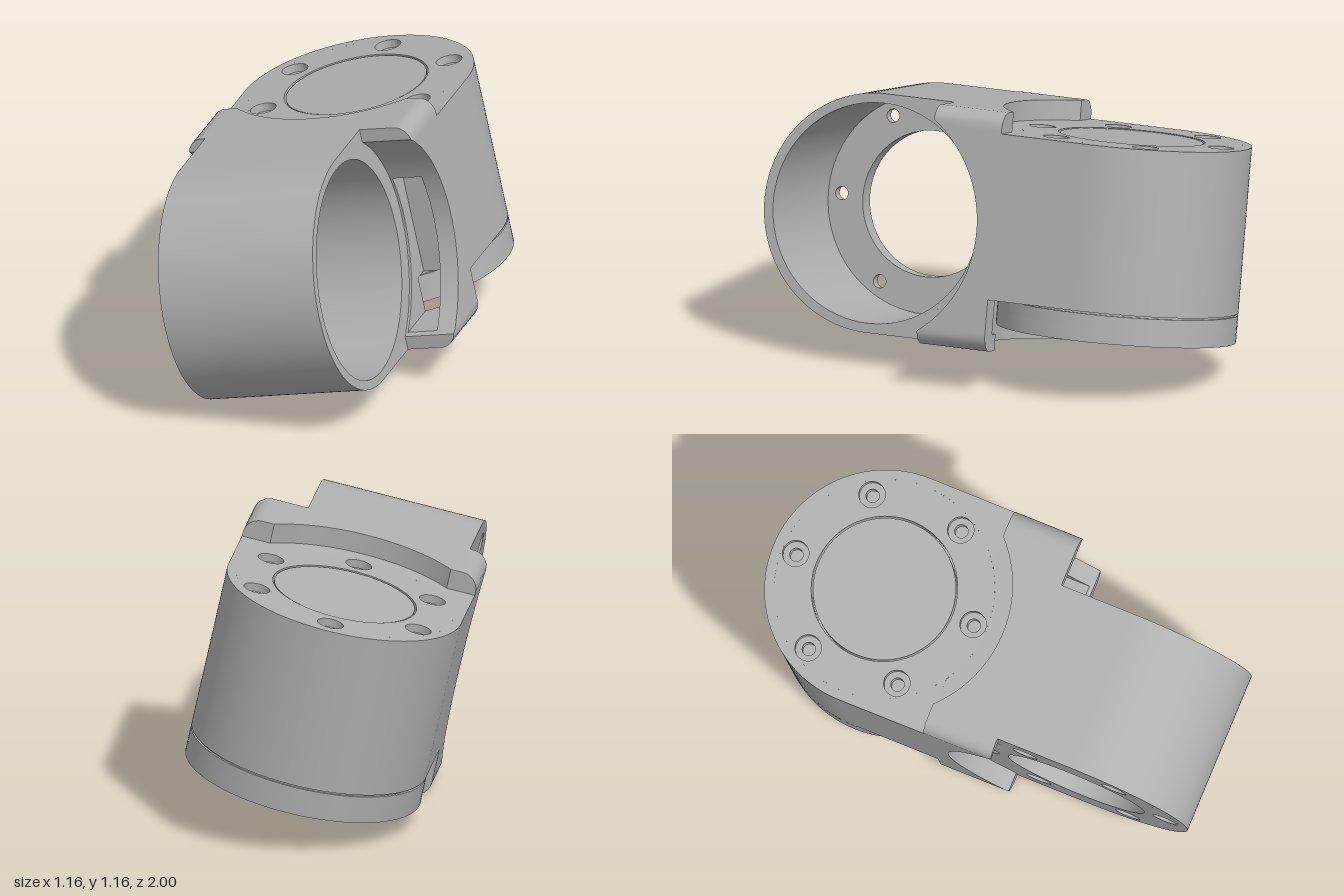
import * as THREE from 'three';
import { toCreasedNormals } from 'three/addons/utils/BufferGeometryUtils.js';

const R = 0.5, BORE = 0.46, CLEAR = 0.54;       // barrel, bore and clearance radii
const FLOOR = 0.415, RIM = -0.28;               // barrel extent along its own axis
const FRONT = 0.19, BACK = -0.115;              // collar faces

const grey = new THREE.MeshStandardMaterial({ color: 0xb0b0b0 });
grey.name = 'aluminium grey';

function add(parent, name, geometry) {
  const mesh = new THREE.Mesh(toCreasedNormals(geometry, 0.5), grey);
  mesh.name = name;
  parent.add(mesh);
  return mesh;
}

function plate(parent, name, shape, from, to) {
  const geo = new THREE.ExtrudeGeometry(shape, { depth: to - from, bevelEnabled: false, curveSegments: 48 });
  geo.translate(0, 0, from);
  return add(parent, name, geo);
}

// Disc with a centre hole and a circle of bolt holes
function disc(radius, hole, bolts, boltCircle, boltRadius, phase) {
  const shape = new THREE.Shape().absarc(0, 0, radius, 0, Math.PI * 2);
  const cut = (x, y, r) => shape.holes.push(new THREE.Path().absarc(x, y, r, 0, Math.PI * 2, true));
  cut(0, 0, hole);
  for (let i = 0; i < bolts; i++) {
    const a = phase + (i / bolts) * Math.PI * 2;
    cut(boltCircle * Math.cos(a), boltCircle * Math.sin(a), boltRadius);
  }
  return shape;
}

// Barrel along local z: floor at +z, open rim at -z, legs reaching the collar at -y
function barrel(name, leg, hole) {
  const group = new THREE.Group();
  group.name = name;
  const a = Math.asin(leg / BORE), x = BORE * Math.cos(a);
  const wall = new THREE.Shape();
  wall.moveTo(R, -leg);
  wall.lineTo(R, 0);
  wall.absarc(0, 0, R, 0, Math.PI);
  wall.lineTo(-R, -leg);
  wall.lineTo(-x, -leg);
  wall.absarc(0, 0, BORE, Math.PI + a, -a, true);
  plate(group, 'barrelWall', wall, RIM, FLOOR);
  plate(group, 'countersunkFloor', disc(BORE, hole, 6, 0.4, 0.055, Math.PI / 2), 0.38, FLOOR);
  plate(group, 'innerFloor', disc(BORE, hole, 6, 0.4, 0.028, Math.PI / 2), 0.335, 0.38);
  return group;
}

function place(group, x, y, z, offset) {
  const v = (p) => new THREE.Vector3(...p);
  group.quaternion.setFromRotationMatrix(new THREE.Matrix4().makeBasis(v(x), v(y), v(z)));
  group.position.z = offset;
}

// Collar: rounded square slab, scooped in front and behind, with one slot through it
function collarGeometry() {
  const gridLines = (steps) => {
    const lines = [-0.43, 0.19, 0.29, 0.42];
    for (let i = 0; i <= 50; i++) lines.push(-0.5 + i / 50);
    for (const e of [0.256, 0.341, 0.379, 0.442]) lines.push(e, -e);
    for (let i = 0; i <= 6; i++) {
      const e = 0.43 + 0.07 * Math.sin((i / 6) * Math.PI / 2);
      lines.push(e, -e);
    }
    for (const s of steps) lines.push(s - 0.0004, s + 0.0004);
    const sorted = lines.sort((a, b) => a - b);
    return sorted.filter((n, i) => i === 0 || n - sorted[i - 1] > 1e-6);
  };
  const us = gridLines([-FLOOR, -RIM]), vs = gridLines([FLOOR, RIM]);
  const scoop = (r, t) => 0.5 - Math.sqrt(Math.max(0, r * r - t * t));
  const point = (i, j, front) => {
    const u = us[i];
    const c = Math.max(0, Math.abs(u) - 0.43);
    const top = 0.43 + Math.sqrt(Math.max(0, 0.0049 - c * c));
    const v = Math.max(-top, Math.min(top, vs[j]));
    const z = front
      ? Math.min(FRONT, scoop(u > -FLOOR && u < -RIM ? BORE : CLEAR, v))
      : Math.max(BACK, -scoop(vs[j] > RIM && vs[j] < FLOOR ? BORE : CLEAR, u));
    return [u, v, z];
  };
  const solid = (i, j) => {
    if (i < 0 || j < 0 || i >= us.length - 1 || j >= vs.length - 1) return false;
    const u = (us[i] + us[i + 1]) / 2, v = (vs[j] + vs[j + 1]) / 2;
    return !(u > 0.29 && u < 0.42 && v > -0.43 && v < 0.19);
  };
  const out = [];
  const quad = (a, b, c, d) => out.push(...a, ...b, ...c, ...a, ...c, ...d);
  const sides = [[0, -1], [1, 0], [0, 1], [-1, 0]];
  for (let i = 0; i < us.length - 1; i++) {
    for (let j = 0; j < vs.length - 1; j++) {
      if (!solid(i, j)) continue;
      const corners = [[i, j], [i + 1, j], [i + 1, j + 1], [i, j + 1]];
      const f = corners.map(([a, b]) => point(a, b, true));
      const k = corners.map(([a, b]) => point(a, b, false));
      quad(...f);
      quad(k[3], k[2], k[1], k[0]);
      sides.forEach(([di, dj], s) => {
        const t = (s + 1) % 4;
        if (!solid(i + di, j + dj)) quad(f[s], k[s], k[t], f[t]);
      });
    }
  }
  const geo = new THREE.BufferGeometry();
  geo.setAttribute('position', new THREE.Float32BufferAttribute(out, 3));
  return geo;
}

export function createModel() {
  const model = new THREE.Group();
  model.name = 'twoAxisJoint';
  const body = new THREE.Group();
  body.name = 'tiltedJoint';
  body.rotation.z = THREE.MathUtils.degToRad(12.3);
  body.position.y = 0.582;
  model.add(body);

  add(body, 'collar', collarGeometry());

  // Open front barrel lying across the joint
  const front = barrel('frontBarrel', 0.5 - FRONT, 0.305);
  place(front, [0, -1, 0], [0, 0, 1], [-1, 0, 0], 0.5);
  body.add(front);

  // Upright rear barrel, filled by a motor and closed by a cap
  const rear = barrel('rearBarrel', 0.5 + BACK, 0.305);
  place(rear, [1, 0, 0], [0, 0, -1], [0, 1, 0], -0.5);
  body.add(rear);

  const cylinder = (name, r, from, to) => {
    const geo = new THREE.CylinderGeometry(r, r, to - from, 64);
    geo.rotateX(Math.PI / 2).translate(0, 0, (from + to) / 2);
    add(rear, name, geo);
  };
  cylinder('motorBody', 0.45, -0.2, 0.334);
  cylinder('motorFlange', 0.298, 0.33, 0.412);

  const capPlate = (name, r, hole, bolt, from, to) =>
    plate(rear, name, disc(r, hole, 4, 0.42, bolt, Math.PI / 4), from, to);
  capPlate('capSeam', 0.49, 0.155, 0.025, -0.288, -0.278);
  capPlate('capInner', R, 0.155, 0.025, -0.34, -0.288);
  capPlate('capOuter', R, 0.17, 0.042, -0.405, -0.34);

  return model;
}
